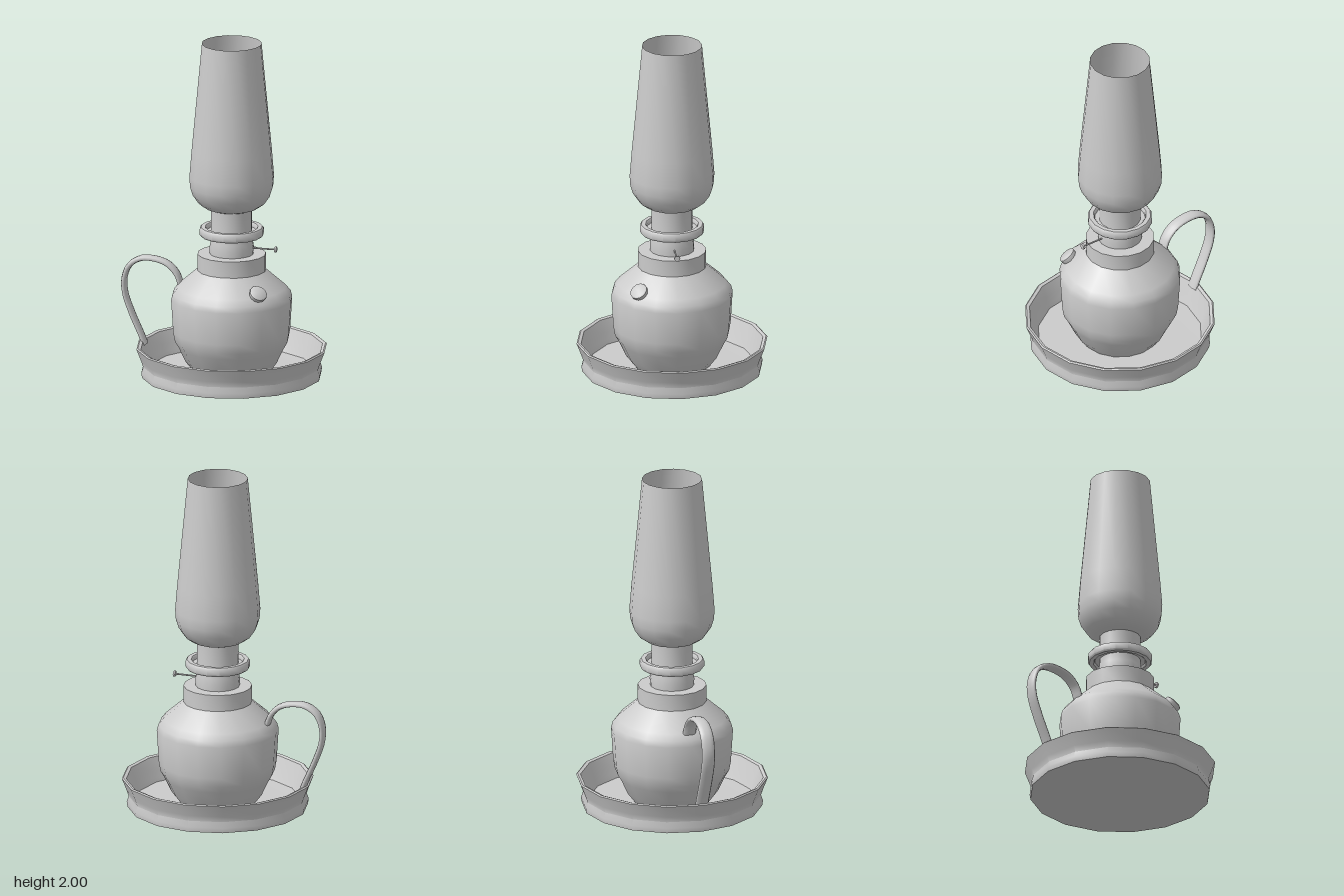
import * as THREE from 'three';
import { toCreasedNormals } from 'three/addons/utils/BufferGeometryUtils.js';

const AXIS_X = 0.055;
const SIDES = 16;

export function createModel() {
  const model = new THREE.Group();
  const grey = new THREE.MeshStandardMaterial({ color: 0xcccccc });
  const greyDouble = new THREE.MeshStandardMaterial({ color: 0xcccccc, side: THREE.DoubleSide });

  // Everything turned on the lamp's axis hangs in this group
  const lamp = new THREE.Group();
  lamp.name = 'lamp';
  lamp.position.x = AXIS_X;
  model.add(lamp);

  const add = (parent, name, geometry, material = grey) => {
    const mesh = new THREE.Mesh(geometry, material);
    mesh.name = name;
    parent.add(mesh);
    return mesh;
  };
  const turned = (name, profile, sides = SIDES, material = grey, crease = 0.75) => {
    const points = profile.map(([r, y]) => new THREE.Vector2(r, y));
    return add(lamp, name, toCreasedNormals(new THREE.LatheGeometry(points, sides), crease), material);
  };

  // Drip dish with a waisted, flared wall
  turned('dish', [
    [0, 0], [0.525, 0], [0.53, 0.03], [0.518, 0.065], [0.53, 0.1], [0.558, 0.172],
    [0.55, 0.178], [0.532, 0.172], [0.505, 0.1], [0.49, 0.06], [0.48, 0.035], [0, 0.03],
  ]);

  // Oil reservoir with shoulder and collar
  turned('reservoir', [
    [0.22, 0.025], [0.27, 0.09], [0.31, 0.175], [0.333, 0.215], [0.343, 0.27],
    [0.355, 0.465], [0.345, 0.5], [0.317, 0.535], [0.2, 0.637], [0.2, 0.735], [0, 0.735],
  ]);

  // Burner neck, open at the top
  turned('burnerNeck', [
    [0.128, 0.73], [0.13, 0.775], [0.124, 0.81], [0.12, 0.84], [0.12, 1.01],
    [0.112, 1.01], [0.112, 0.93], [0, 0.93],
  ]);

  // Gallery ring and the plate that carries it
  turned('galleryRing', [
    [0.148, 0.85], [0.155, 0.842], [0.18, 0.842], [0.188, 0.852], [0.188, 0.884],
    [0.18, 0.895], [0.155, 0.895], [0.148, 0.886], [0.148, 0.85],
  ]);
  turned('galleryPlate', [[0.1, 0.856], [0.15, 0.856], [0.15, 0.868], [0.1, 0.868]]);

  // Wick holder
  turned('wick', [[0.05, 0.925], [0.048, 0.96], [0.02, 1.0], [0, 1.0]], 8);

  // Glass chimney, a thin open shell
  turned('chimney', [
    [0.115, 1.0], [0.155, 1.014], [0.195, 1.042], [0.228, 1.09], [0.244, 1.14],
    [0.248, 1.2], [0.236, 1.35], [0.175, 2.0],
  ], SIDES, greyDouble, 1.2);

  // Wick adjuster: thin rod with a small knob
  const adjuster = new THREE.Group();
  adjuster.name = 'wickAdjuster';
  adjuster.position.y = 0.775;
  adjuster.rotation.z = -Math.PI / 2;
  lamp.add(adjuster);
  add(adjuster, 'adjusterRod', new THREE.CylinderGeometry(0.005, 0.005, 0.16, 6)).position.y = 0.185;
  add(adjuster, 'adjusterKnob', new THREE.CylinderGeometry(0.018, 0.018, 0.012, 6)).position.y = 0.265;

  // Filler cap, set square on the shoulder at the front left
  const cap = add(lamp, 'fillerCap', toCreasedNormals(new THREE.LatheGeometry(
    [[0.042, -0.03], [0.052, 0], [0.052, 0.012], [0.044, 0.018], [0, 0.018]]
      .map(([r, y]) => new THREE.Vector2(r, y)), 12), 0.7));
  const side = Math.SQRT1_2;
  cap.position.set(0.305 * side, 0.558, 0.305 * side);
  cap.quaternion.setFromUnitVectors(new THREE.Vector3(0, 1, 0),
    new THREE.Vector3(0.66 * side, 0.75, 0.66 * side).normalize());

  // Strap handle: a tube in the xy plane widened along z
  const path = new THREE.CatmullRomCurve3([
    [-0.465, 0.15], [-0.485, 0.2], [-0.545, 0.335], [-0.585, 0.45], [-0.59, 0.54], [-0.56, 0.62],
    [-0.495, 0.665], [-0.415, 0.67], [-0.33, 0.645], [-0.275, 0.59], [-0.25, 0.525],
  ].map(([x, y]) => new THREE.Vector3(x, y, 0)));
  const strap = new THREE.TubeGeometry(path, 32, 0.016, 10);
  strap.scale(1, 1, 2.5);
  add(model, 'handle', strap, greyDouble);

  return model;
}
